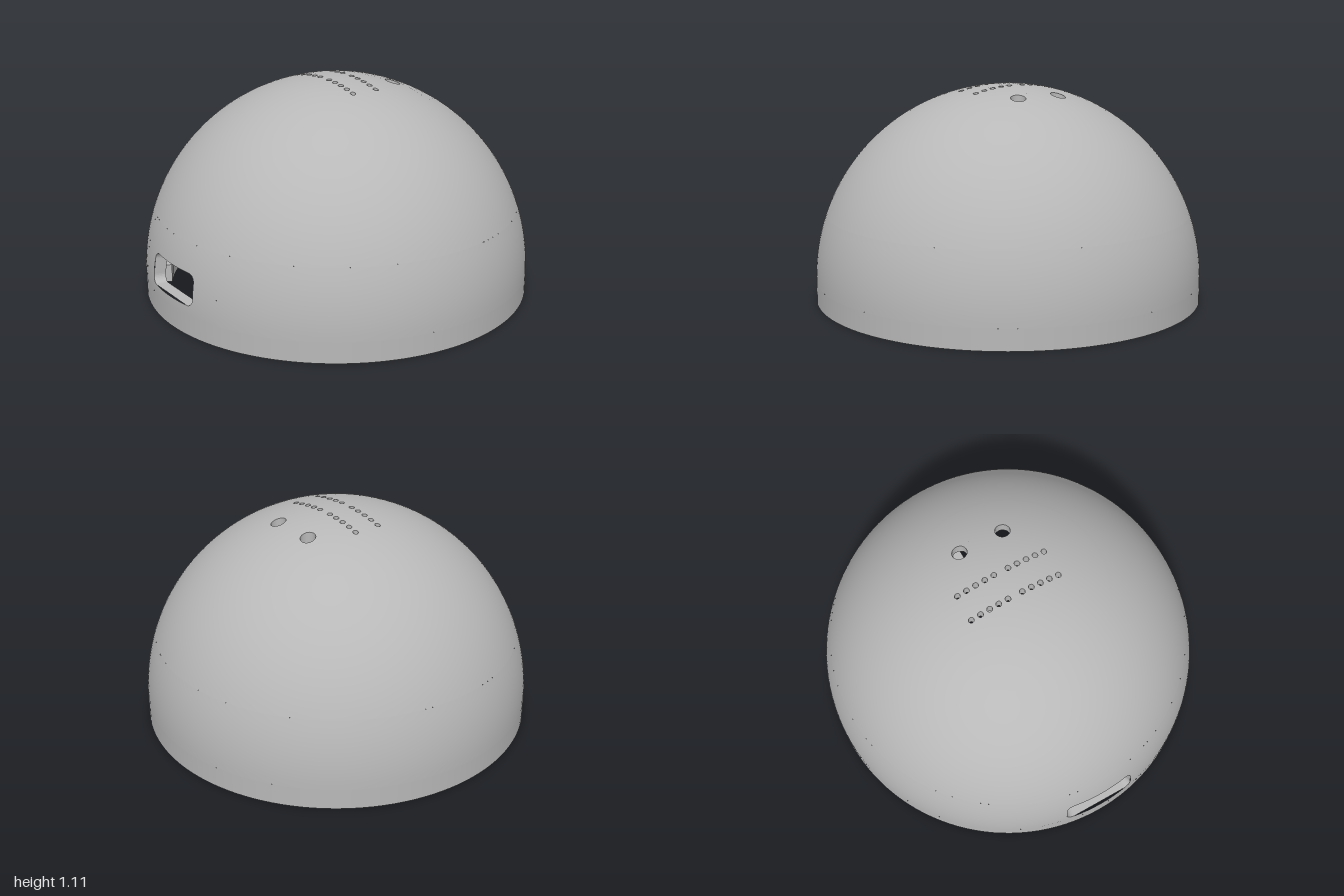
import * as THREE from 'three';

const OUTER = 1, INNER = 0.94, SPRING = 0.107; // shell radii, height where the dome starts
const CAP = 0.5, BAND_TOP = 0.45, BAND_HALF = 0.35, SEG = 128;

const shellGrey = new THREE.MeshStandardMaterial({ color: 0xb8b8b8 });
shellGrey.name = 'shellGrey';

function add(parent, name, geometry) {
  const mesh = new THREE.Mesh(geometry, shellGrey);
  mesh.name = name;
  parent.add(mesh);
  return mesh;
}

const radiusAt = (y, R) => (y < SPRING ? R : Math.sqrt(R * R - (y - SPRING) ** 2));
const heightAt = (r, R) => SPRING + Math.sqrt(R * R - r * r);

// Flat (u, v) to dome: straight down for the cap, wrapped around for the front
const capMap = (u, v, R) => new THREE.Vector3(u, heightAt(Math.hypot(u, v), R), -v);
const frontMap = (u, v, R) => {
  const r = radiusAt(v, R);
  return new THREE.Vector3(r * Math.sin(u), v, r * Math.cos(u));
};

function circle(x, y, r, n) {
  return Array.from({ length: n }, (_, i) => {
    const a = (i / n) * Math.PI * 2;
    return new THREE.Vector2(x + r * Math.cos(a), y + r * Math.sin(a));
  });
}

function roundedRect(hw, y0, y1, r) {
  const corners = [[hw - r, y0 + r, -0.5], [hw - r, y1 - r, 0], [-hw + r, y1 - r, 0.5], [-hw + r, y0 + r, 1]];
  const pts = [];
  for (const [cx, cy, start] of corners) {
    for (let i = 0; i <= 8; i++) {
      const a = (start + i / 16) * Math.PI;
      pts.push(new THREE.Vector2(cx + r * Math.cos(a), cy + r * Math.sin(a)));
    }
  }
  return pts;
}

// Curved sheet: triangulate flat, halve long edges, then bend onto the dome
function sheet(outline, holes, map, R, inward) {
  const shape = new THREE.Shape(outline);
  shape.holes = holes.map((h) => new THREE.Path(h));
  const flat = new THREE.ShapeGeometry(shape).toNonIndexed().attributes.position;
  const positions = [], normals = [];
  const emit = (p) => {
    const q = map(p.x, p.y, R);
    const n = new THREE.Vector3(q.x, q.y - SPRING, q.z).normalize().multiplyScalar(inward ? -1 : 1);
    positions.push(q.x, q.y, q.z);
    normals.push(n.x, n.y, n.z);
  };
  const split = (a, b, c) => {
    const ab = a.distanceTo(b), bc = b.distanceTo(c), ca = c.distanceTo(a);
    const longest = Math.max(ab, bc, ca);
    if (longest < 0.05) {
      (inward ? [a, c, b] : [a, b, c]).forEach(emit);
    } else if (longest === ab) {
      const m = a.clone().add(b).multiplyScalar(0.5);
      split(a, m, c);
      split(m, b, c);
    } else if (longest === bc) split(b, c, a);
    else split(c, a, b);
  };
  for (let i = 0; i < flat.count; i += 3) {
    split(...[0, 1, 2].map((k) => new THREE.Vector2(flat.getX(i + k), flat.getY(i + k))));
  }
  const g = new THREE.BufferGeometry();
  g.setAttribute('position', new THREE.Float32BufferAttribute(positions, 3));
  g.setAttribute('normal', new THREE.Float32BufferAttribute(normals, 3));
  return g;
}

// Wall of a hole through the shell thickness
function holeWall(points, map) {
  const pos = [];
  points.forEach((p, i) => {
    const q = points[(i + 1) % points.length];
    const [o0, o1, i0, i1] = [map(p.x, p.y, OUTER), map(q.x, q.y, OUTER), map(p.x, p.y, INNER), map(q.x, q.y, INNER)];
    for (const v of [o0, o1, i0, o1, i1, i0]) pos.push(v.x, v.y, v.z);
  });
  const g = new THREE.BufferGeometry();
  g.setAttribute('position', new THREE.Float32BufferAttribute(pos, 3));
  g.computeVertexNormals();
  return g;
}

function piercedPanel(parent, name, outline, holes, map) {
  add(parent, name + 'Outside', sheet(outline, holes, map, OUTER, false));
  add(parent, name + 'Inside', sheet(outline, holes, map, INNER, true));
  holes.forEach((h) => add(parent, name + 'HoleWall', holeWall(h, map)));
}

// Revolved piece of the dome; points run upward outside, downward inside
function revolved(pts, inward, start = 0, length = Math.PI * 2, seg = SEG) {
  return new THREE.LatheGeometry(inward ? pts.slice().reverse() : pts, seg, start, length);
}

function domeProfile(a0, a1, R, n) {
  return Array.from({ length: n + 1 }, (_, i) => {
    const a = a0 + ((a1 - a0) * i) / n;
    return new THREE.Vector2(R * Math.cos(a), SPRING + R * Math.sin(a));
  });
}

// Level plate from a plan drawn in (x, -z)
function plate(shape, y0, y1) {
  const g = new THREE.ExtrudeGeometry(shape, { depth: y1 - y0, bevelEnabled: false, curveSegments: 96 });
  return g.rotateX(-Math.PI / 2).translate(0, y0, 0);
}

export function createModel() {
  const model = new THREE.Group();
  model.name = 'domeCover';

  // Shell walls
  const shell = new THREE.Group();
  shell.name = 'shell';
  model.add(shell);
  for (const [side, R, inward] of [['Outside', OUTER, false], ['Inside', INNER, true]]) {
    const bandAngle = Math.asin((BAND_TOP - SPRING) / R);
    const skirt = [new THREE.Vector2(R, 0), new THREE.Vector2(R, SPRING)];
    add(shell, 'skirt' + side, revolved(skirt, inward));
    add(shell, 'lowerBand' + side,
      revolved(domeProfile(0, bandAngle, R, 10), inward, BAND_HALF, Math.PI * 2 - 2 * BAND_HALF));
    add(shell, 'upperDome' + side, revolved(domeProfile(bandAngle, Math.acos(CAP / R), R, 24), inward));
  }
  add(shell, 'bottomRim', new THREE.RingGeometry(INNER, OUTER, SEG).rotateX(Math.PI / 2));

  // Top cap with two large holes and two rows of small ones
  const topHoles = [-1, 1].map((s) => circle(s * 0.12, 0.27, 0.038, 32));
  for (const v of [-0.07, 0.07]) {
    for (const s of [-1, 1]) {
      for (let i = 0; i < 5; i++) topHoles.push(circle(s * (0.039 + i * 0.05), v, 0.014, 16));
    }
  }
  piercedPanel(shell, 'topCap', circle(0, 0, CAP, SEG), topHoles, capMap);

  // Front panel with a rounded slot
  const b = BAND_HALF;
  const panel = [[-b, SPRING], [b, SPRING], [b, BAND_TOP], [-b, BAND_TOP]].map((p) => new THREE.Vector2(...p));
  piercedPanel(shell, 'frontPanel', panel, [roundedRect(0.194, 0.155, 0.315, 0.04)], frontMap);

  // Locking lip inside the bottom edge, open across the front
  const lipStart = THREE.MathUtils.degToRad(-41), lipEnd = THREE.MathUtils.degToRad(238);
  const lip = new THREE.Shape();
  lip.absarc(0, 0, INNER, lipStart, lipEnd, false);
  lip.absarc(0, 0, 0.87, lipEnd, lipStart, true);
  add(model, 'lockingLip', plate(lip, 0, 0.095));

  // Shelf around the sides and back, cut straight at the front
  const y0 = 0.21, y1 = 0.265, cut = 0.34;
  const outerCut = Math.asin(cut / 0.95), innerCut = Math.asin(cut / 0.72);
  const shelf = new THREE.Shape();
  shelf.absarc(0, 0, 0.95, -outerCut, Math.PI + outerCut, false);
  shelf.absarc(0, 0, 0.72, Math.PI + innerCut, -innerCut, true);
  add(model, 'shelf', plate(shelf, y0, y1));

  // Crossed support bars
  const crossBar = add(model, 'crossBar', new THREE.BoxGeometry(1.48, y1 - y0, 0.05));
  crossBar.position.y = (y0 + y1) / 2;
  for (const [name, from, to] of [['frontBar', 0.025, 0.15], ['backBar', -0.74, -0.025]]) {
    const bar = add(model, name, new THREE.BoxGeometry(0.05, y1 - y0, to - from));
    bar.position.set(0, (y0 + y1) / 2, (from + to) / 2);
  }
  return model;
}
